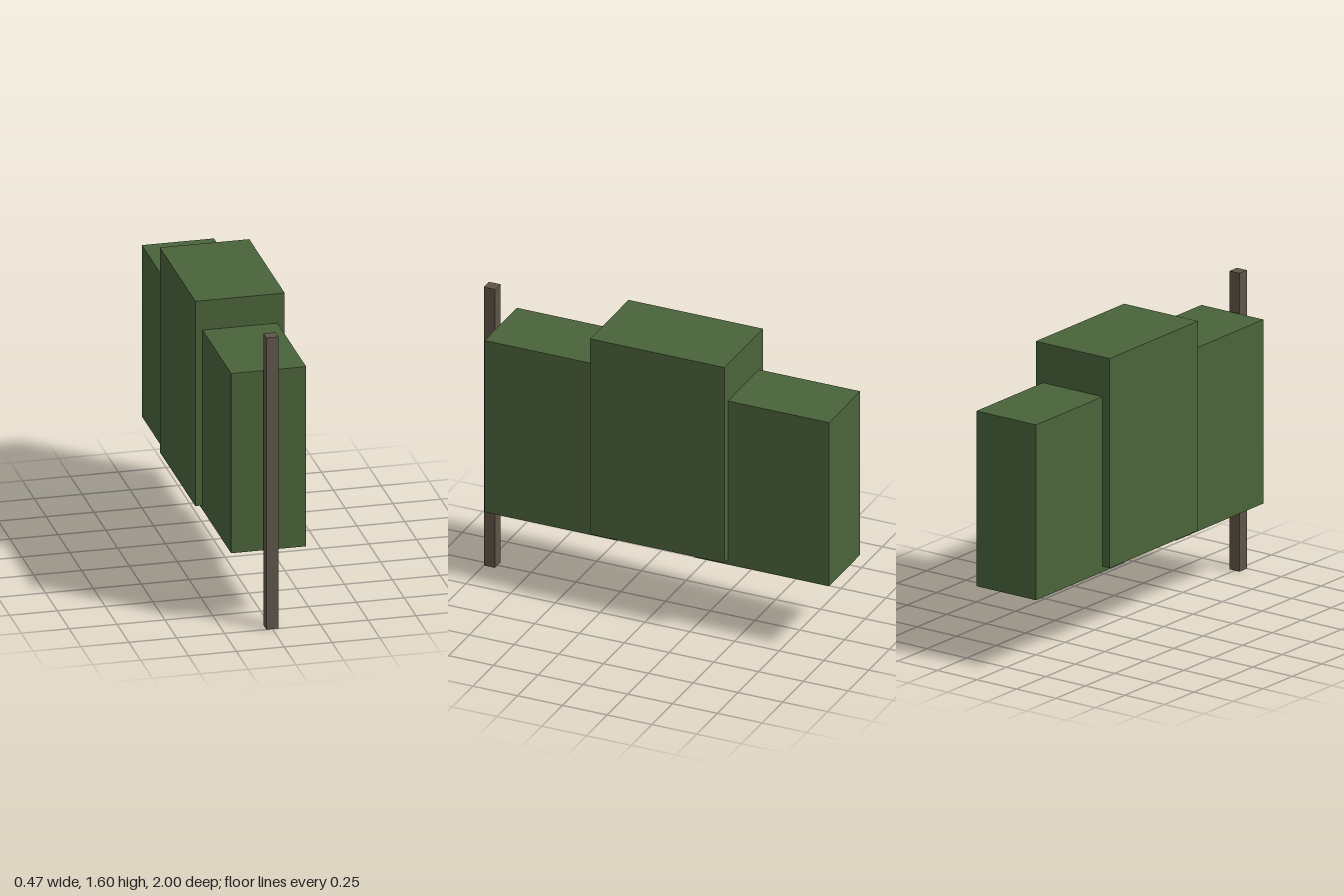
import * as THREE from 'three';

export function createModel() {
  const model = new THREE.Group();
  const paint = (name, color) => {
    const material = new THREE.MeshStandardMaterial({ color });
    material.name = name;
    return material;
  };
  const leafGreen = paint('leaf green', 0x4a633a);
  const barkBrown = paint('bark brown', 0x5f5548);

  // Box centred on x = 0, given its width and its y and z ranges
  const block = (name, material, width, [y0, y1], [z0, z1]) => {
    const mesh = new THREE.Mesh(new THREE.BoxGeometry(width, y1 - y0, z1 - z0), material);
    mesh.name = name;
    mesh.position.set(0, (y0 + y1) / 2, (z0 + z1) / 2);
    model.add(mesh);
  };

  // Three overlapping foliage blocks, the middle one tallest and widest
  block('frontFoliage', leafGreen, 0.392, [0.402, 1.385], [0.175, 0.92]);
  block('middleFoliage', leafGreen, 0.467, [0.426, 1.546], [-0.436, 0.314]);
  block('backFoliage', leafGreen, 0.377, [0.396, 1.333], [-1, -0.25]);

  // Slender upright post, standing clear of the foliage
  block('post', barkBrown, 0.063, [0, 1.595], [0.937, 1]);

  return model;
}
